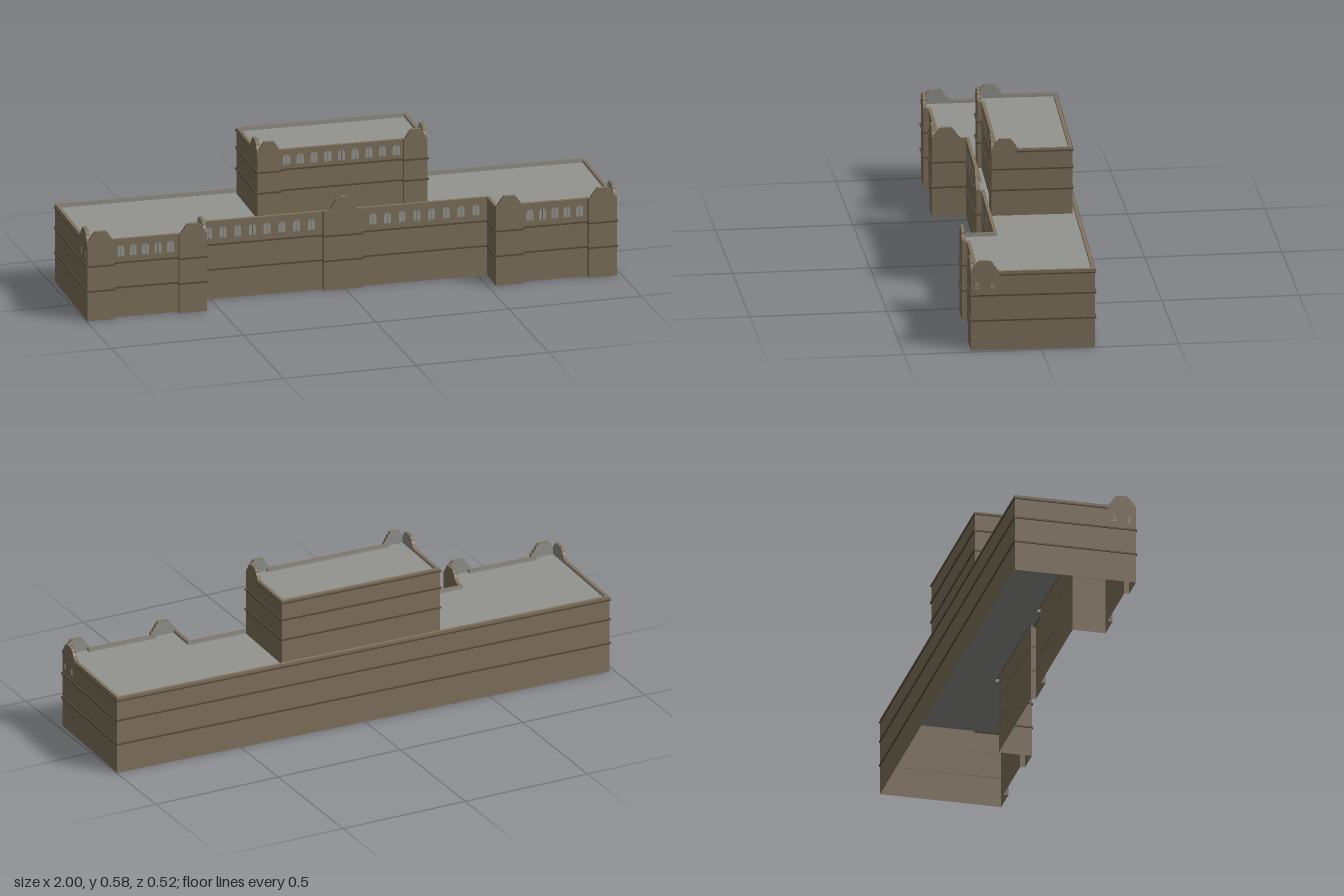
import * as THREE from 'three';

const mat = (name, color) => new THREE.MeshStandardMaterial({ name, color, side: THREE.DoubleSide });

export function createModel() {
  const stone = mat('stone', 0x82745f);
  const trim = mat('dark trim', 0x5a4d3d);
  const roofGrey = mat('roof grey', 0x94948f);
  const glass = mat('window grey', 0x9a9a96);

  const model = new THREE.Group();
  model.name = 'building';
  const body = new THREE.Group();
  body.name = 'buildingBody';
  body.rotation.y = -0.0326; // the plan stands slightly askew
  model.add(body);

  const add = (parent, name, geometry, material) => {
    const mesh = new THREE.Mesh(geometry, material);
    mesh.name = name;
    parent.add(mesh);
    return mesh;
  };

  // Plans are loops of [x, z], front left to front right, then round the back
  const offset = (loop, d) => loop.map(([x, z], i) => {
    const n = loop.length, p = loop[(i + n - 1) % n], q = loop[(i + 1) % n];
    let nx = 0, nz = 0;
    for (const [a, b] of [[p, [x, z]], [[x, z], q]]) {
      const dx = b[0] - a[0], dz = b[1] - a[1], len = Math.hypot(dx, dz);
      nx -= dz / len;
      nz += dx / len;
    }
    return [x + nx * d, z + nz * d];
  });
  const toPoints = loop => loop.map(([x, z]) => new THREE.Vector2(x, -z));
  const ringShape = (outer, inner) => {
    const shape = new THREE.Shape(toPoints(outer));
    if (inner) shape.holes.push(new THREE.Path(toPoints(inner).reverse()));
    return shape;
  };
  const flat = (shape, y) => new THREE.ShapeGeometry(shape).rotateX(-Math.PI / 2).translate(0, y, 0);
  const slab = (shape, y, h) => new THREE.ExtrudeGeometry(shape, { depth: h, bevelEnabled: false })
    .rotateX(-Math.PI / 2).translate(0, y, 0);

  // Open ring of upright walls
  const walls = (loop, y0, y1) => {
    const v = [];
    loop.forEach(([ax, az], i) => {
      const [bx, bz] = loop[(i + 1) % loop.length];
      v.push(ax, y0, az, bx, y0, bz, bx, y1, bz, ax, y0, az, bx, y1, bz, ax, y1, az);
    });
    const g = new THREE.BufferGeometry();
    g.setAttribute('position', new THREE.Float32BufferAttribute(v, 3));
    g.computeVertexNormals();
    return g;
  };

  // Walls, sunken roof, parapet and string courses of one storey block
  function storeyBlock(name, loop, y0, y1, bands) {
    const group = new THREE.Group();
    group.name = name;
    body.add(group);
    const inner = offset(loop, -0.012);
    add(group, 'outerWalls', walls(loop, y0, y1), stone);
    add(group, 'parapetInside', walls(inner, y1 - 0.012, y1), roofGrey);
    add(group, 'parapetTop', flat(ringShape(loop, inner), y1), stone);
    add(group, 'roof', flat(ringShape(inner), y1 - 0.012), roofGrey);
    for (const y of bands) {
      add(group, 'stringCourse', slab(ringShape(offset(loop, 0.004), loop), y - 0.003, 0.006), trim);
    }
    return group;
  }

  // Cornice along the back and the rear part of both sides
  function cornice(group, halfX, back, front, y) {
    add(group, 'backCornice', new THREE.BoxGeometry(2 * halfX + 0.008, 0.005, 0.004), trim)
      .position.set(0, y, back - 0.002);
    for (const s of [-1, 1]) {
      add(group, 'sideCornice', new THREE.BoxGeometry(0.004, 0.005, front - back), trim)
        .position.set(s * (halfX + 0.002), y, (front + back) / 2);
    }
  }

  // Shaped gable: half profile of [x, height] mirrored about its middle
  const smallGable = w => [[w, -0.012], [w, 0.004], [w * 0.86, 0.008], [w * 0.8, 0.015],
    [w * 0.64, 0.024], [w * 0.6, 0.031], [w * 0.46, 0.036], [w * 0.42, 0.041]];
  const centreGable = [[0.071, -0.012], [0.071, 0.004], [0.05, 0.01], [0.042, 0.022],
    [0.034, 0.034], [0.026, 0.048], [0.014, 0.054], [0.01, 0.058]];
  function gable(parent, half, x, y, z, turn = 0) {
    const pts = [...half, ...half.map(([a, b]) => [-a, b]).reverse()].map(p => new THREE.Vector2(...p));
    const shape = new THREE.Shape(pts);
    const group = new THREE.Group();
    group.name = 'gable';
    add(group, 'gableStone', new THREE.ExtrudeGeometry(shape, { depth: 0.012, bevelEnabled: false })
      .translate(0, 0, -0.0115), stone);
    add(group, 'gableBack', new THREE.ShapeGeometry(shape).rotateY(Math.PI)
      .translate(0, 0, -0.0125), roofGrey);
    group.position.set(x, y, z);
    group.rotation.y = turn;
    parent.add(group);
  }

  // Row of round-headed windows on a front wall
  function windowRow(parent, x0, x1, count, y, z, w, h) {
    const r = w / 2;
    const shape = new THREE.Shape();
    shape.moveTo(-r, 0);
    shape.lineTo(r, 0);
    shape.lineTo(r, h - r);
    shape.absarc(0, h - r, r, 0, Math.PI, false);
    const geometry = new THREE.ShapeGeometry(shape, 6);
    for (let i = 0; i < count; i++) {
      const x = x0 + (x1 - x0) * i / (count - 1);
      add(parent, 'archedWindow', geometry, glass).position.set(x, y, z + 0.0012);
      add(parent, 'windowBar', new THREE.BoxGeometry(0.002, h, 0.001), stone)
        .position.set(x, y + h / 2, z + 0.0016);
    }
  }

  // Main range: two projecting wings with corner turrets and a central bay
  const X = 0.99, F = 0.223, R = 0.205, M = 0.1, B = -0.228;
  const mainPlan = [
    [-X, F], [-0.89, F], [-0.89, R], [-0.645, R], [-0.645, F], [-0.543, F], [-0.543, M],
    [-0.077, M], [-0.077, M + 0.018], [0.065, M + 0.018], [0.065, M],
    [0.538, M], [0.538, F], [0.64, F], [0.64, R], [0.885, R], [0.885, F], [X, F], [X, B], [-X, B],
  ];
  const main = storeyBlock('mainRange', mainPlan, 0, 0.298, [0.113, 0.208]);
  cornice(main, X, B, 0.12, 0.285);
  for (const x of [-0.94, -0.594, 0.589, 0.938]) gable(main, smallGable(0.051), x, 0.298, F);
  gable(main, smallGable(0.051), -X, 0.298, F - 0.051, -Math.PI / 2);
  gable(main, smallGable(0.051), X, 0.298, F - 0.051, Math.PI / 2);
  gable(main, smallGable(0.051), -0.543, 0.298, F - 0.051, Math.PI / 2);
  gable(main, centreGable, -0.006, 0.298, M + 0.018);
  windowRow(main, -0.86, -0.675, 5, 0.232, R, 0.026, 0.042);
  windowRow(main, 0.67, 0.855, 5, 0.232, R, 0.026, 0.042);
  windowRow(main, -0.505, -0.12, 8, 0.232, M, 0.026, 0.042);
  windowRow(main, 0.11, 0.495, 8, 0.232, M, 0.026, 0.042);

  // Small paned windows in the end walls
  for (const s of [-1, 1]) {
    for (const z of [0.2, 0.143]) {
      for (let i = 0; i < 6; i++) {
        add(main, 'endWindowPane', new THREE.BoxGeometry(0.001, 0.005, 0.0055), glass)
          .position.set(s * (X + 0.0005), 0.237 + 0.008 * (i >> 1), z + (i % 2 - 0.5) * 0.0075);
      }
    }
  }

  // Upper block rising from the middle
  const U = 0.318, UF = 0.087, UR = 0.073, UB = -0.207;
  const upperPlan = [[-U, UF], [-0.23, UF], [-0.23, UR], [0.23, UR], [0.23, UF], [U, UF], [U, UB], [-U, UB]];
  const upper = storeyBlock('upperBlock', upperPlan, 0.286, 0.538, [0.383, 0.462]);
  cornice(upper, U, UB, 0, 0.528);
  for (const s of [-1, 1]) {
    gable(upper, smallGable(0.044), s * 0.274, 0.536, UF);
    gable(upper, smallGable(0.05), s * U, 0.536, UF - 0.05, s * Math.PI / 2);
  }
  windowRow(upper, -0.205, 0.205, 9, 0.479, UR, 0.027, 0.04);

  return model;
}
